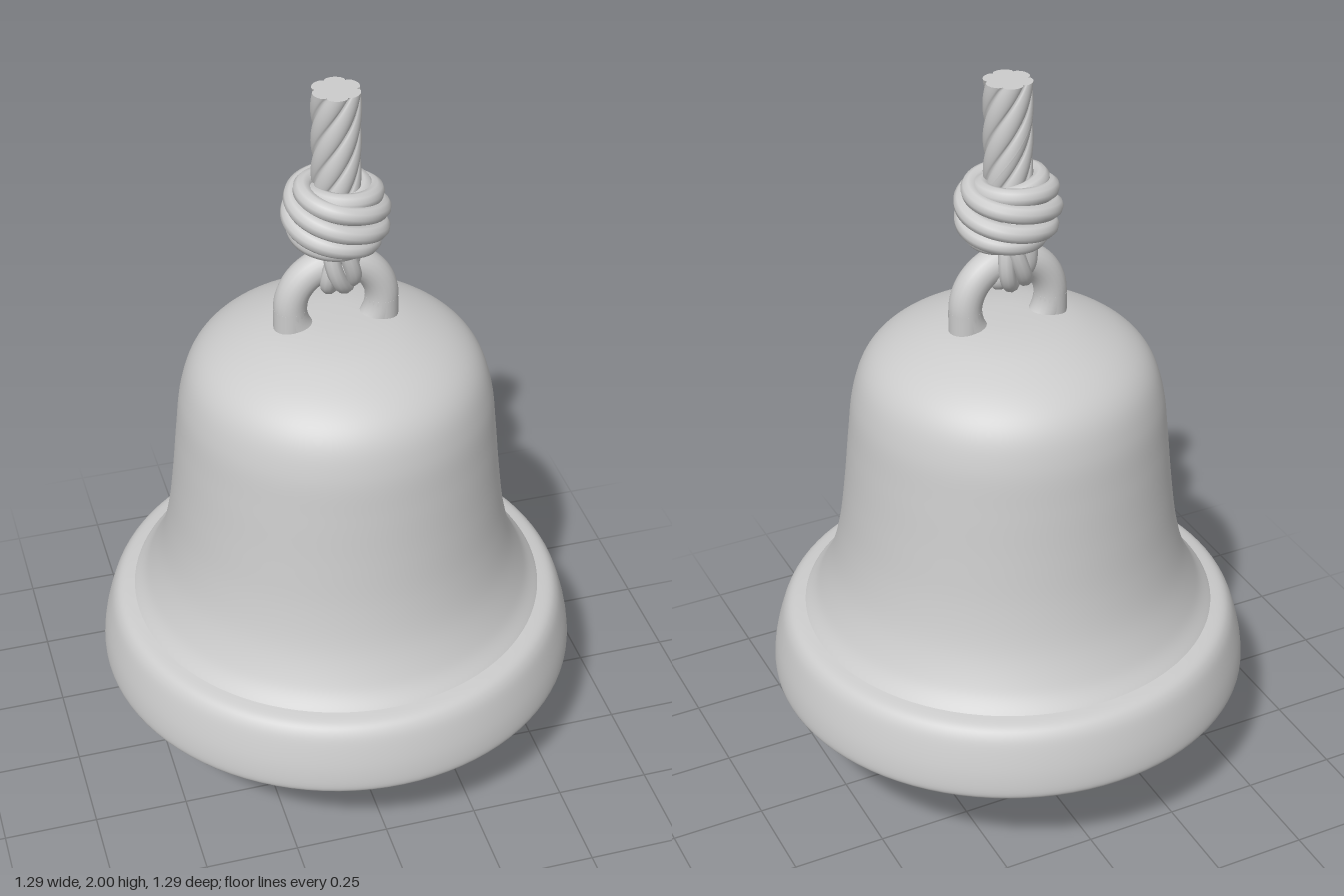
import * as THREE from 'three';

const material = new THREE.MeshStandardMaterial({ color: 0xcccccc });

function add(parent, name, geometry, x = 0, y = 0, z = 0) {
  const mesh = new THREE.Mesh(geometry, material);
  mesh.name = name;
  mesh.position.set(x, y, z);
  parent.add(mesh);
  return mesh;
}

// Smooth lathe through a few [radius, height] points
function turned(points, divisions) {
  const curve = new THREE.SplineCurve(points.map(([r, y]) => new THREE.Vector2(r, y)));
  const profile = curve.getPoints(divisions);
  profile.forEach((p) => { p.x = Math.max(0, p.x); });
  return new THREE.LatheGeometry(profile, 96);
}

// Curve defined by a function of t
class PathCurve extends THREE.Curve {
  constructor(fn) {
    super();
    this.fn = fn;
  }
  getPoint(t, target = new THREE.Vector3()) {
    return target.copy(this.fn(t));
  }
}

// Lobed cylinder whose strands twist with height
function twistedRope(radius, y0, y1) {
  const geo = new THREE.CylinderGeometry(1, 1, y1 - y0, 72, 40);
  geo.translate(0, (y0 + y1) / 2, 0);
  const pos = geo.attributes.position;
  for (let i = 0; i < pos.count; i++) {
    const x = pos.getX(i), y = pos.getY(i), z = pos.getZ(i);
    const angle = Math.atan2(x, z);
    const r = Math.hypot(x, z) * radius * (0.82 + 0.18 * Math.sqrt(Math.abs(Math.cos(3 * angle))));
    const turn = angle + 12 * (y - y0);
    pos.setXYZ(i, r * Math.sin(turn), y, r * Math.cos(turn));
  }
  geo.computeVertexNormals();
  return geo;
}

export function createModel() {
  const model = new THREE.Group();
  model.name = 'bell';

  // Bell shell: inside, lip and outside
  add(model, 'bellInside', turned([
    [0, 1.30], [0.16, 1.28], [0.27, 1.23], [0.33, 1.14], [0.365, 0.98], [0.385, 0.8],
    [0.425, 0.64], [0.49, 0.51], [0.54, 0.42], [0.565, 0.34], [0.575, 0.305],
  ], 50));
  add(model, 'bellRim', turned([
    [0.575, 0.305], [0.59, 0.295], [0.615, 0.295], [0.635, 0.303], [0.643, 0.325], [0.637, 0.38],
    [0.62, 0.445], [0.605, 0.478], [0.585, 0.495], [0.552, 0.503],
  ], 40));
  add(model, 'bellBody', turned([
    [0.552, 0.503], [0.515, 0.55], [0.475, 0.64], [0.449, 0.75], [0.432, 0.88], [0.418, 1.02],
    [0.403, 1.14], [0.37, 1.23], [0.305, 1.29], [0.2, 1.335], [0.1, 1.354], [0, 1.358],
  ], 70));

  // Clapper
  add(model, 'clapperBall', new THREE.SphereGeometry(0.197, 48, 32), 0, 0.197, 0);
  add(model, 'clapperRod', new THREE.CylinderGeometry(0.035, 0.035, 0.96, 24), 0, 0.83, 0);

  // Crown ring with straight legs
  const crown = new THREE.Group();
  crown.name = 'crownRing';
  model.add(crown);
  add(crown, 'ring', new THREE.TorusGeometry(0.12, 0.043, 20, 64), 0, 1.4, 0);
  for (const side of [-1, 1]) {
    add(crown, 'ringLeg', new THREE.CylinderGeometry(0.043, 0.043, 0.09, 24), side * 0.12, 1.355, 0);
  }

  // Rope loop under the ring, laid from twisted strands
  const loop = new THREE.Group();
  loop.name = 'ropeLoop';
  model.add(loop);
  for (let k = 0; k < 4; k++) {
    const strand = new PathCurve((t) => {
      const a = Math.PI * (1.25 * t - 0.125);
      const twist = t * 5.5 + (k * Math.PI) / 2;
      const r = 0.056 + 0.012 * Math.cos(twist);
      return new THREE.Vector3(
        0.032 * Math.sin(twist),
        1.525 - r * Math.sin(a) * 1.05 + 0.06 * Math.abs(2 * t - 1) ** 3,
        r * Math.cos(a),
      );
    });
    add(loop, 'loopStrand', new THREE.TubeGeometry(strand, 48, 0.021, 10));
  }

  // Knot: one strand wound round and round a stretched ring
  const wraps = 8, rolls = 3;
  const winding = new PathCurve((t) => {
    const a = t * wraps * Math.PI * 2;
    const b = t * rolls * Math.PI * 2;
    const r = 0.078 + 0.036 * Math.cos(b);
    return new THREE.Vector3(
      r * Math.sin(a),
      1.663 - 0.068 * Math.sin(b) - 0.006 * Math.sin(a),
      r * Math.cos(a),
    );
  });
  add(model, 'knot', new THREE.TubeGeometry(winding, 480, 0.024, 10, true));

  // Hanging rope
  add(model, 'rope', twistedRope(0.062, 1.58, 2));
  return model;
}
